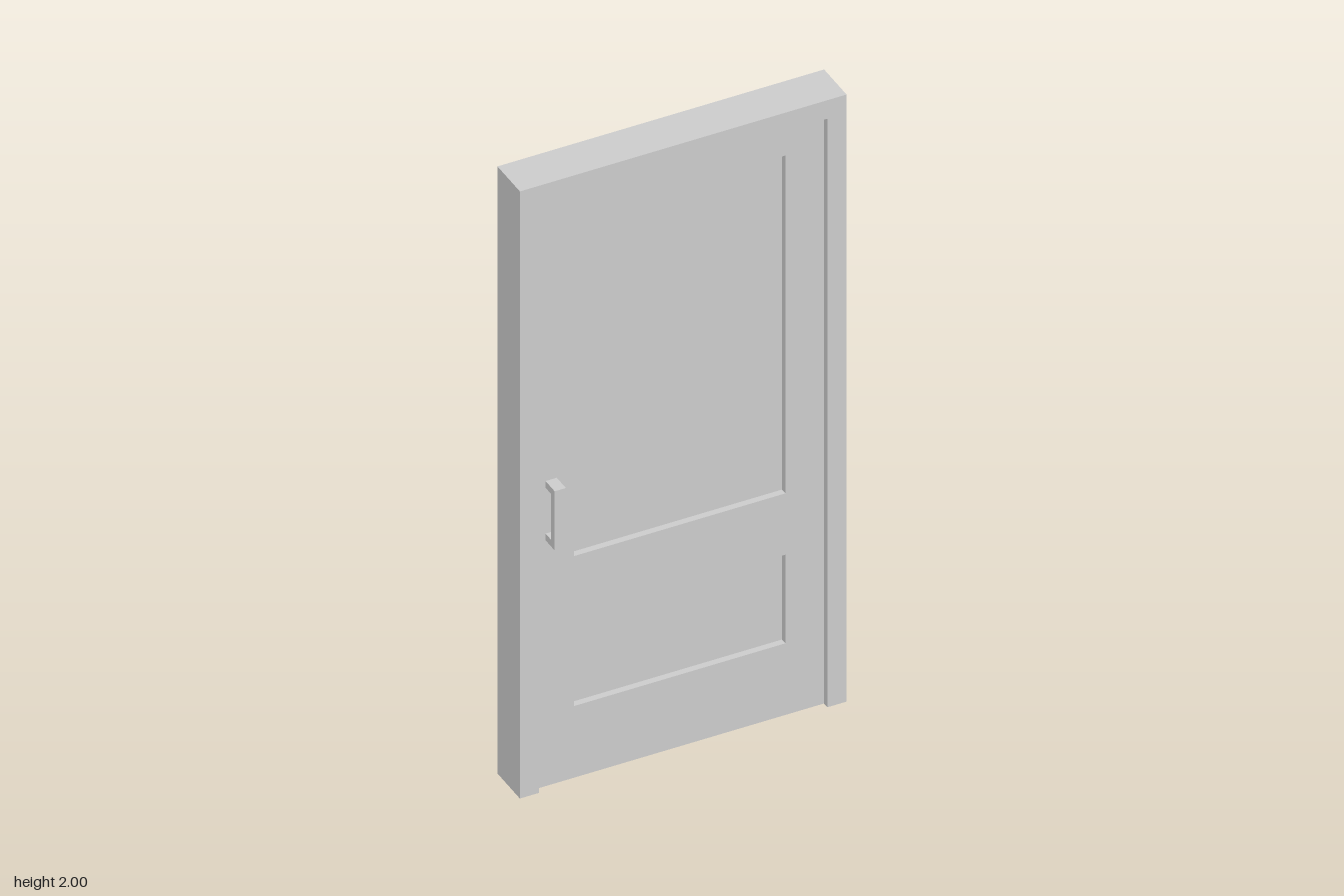
import * as THREE from 'three';

const W = 0.495, H = 2, FRAME_Z = 0.066;      // outer frame half width, height, half depth
const LEAF_W = 0.437, LEAF_H = 1.939, LEAF_Z = 0.046;
const PANEL_W = 0.32, PANEL_Z = 0.026;
const PANELS = [['upperPanel', 0.73, 1.843], ['lowerPanel', 0.236, 0.528]];

const material = new THREE.MeshStandardMaterial({ color: 0xcccccc });

function rectPoints(halfW, y0, y1) {
  return [[-halfW, y0], [halfW, y0], [halfW, y1], [-halfW, y1]].map(([x, y]) => new THREE.Vector2(x, y));
}

// Extrude a flat outline symmetrically about z = 0
function slab(name, shape, halfDepth) {
  const geometry = new THREE.ExtrudeGeometry(shape, { depth: halfDepth * 2, bevelEnabled: false });
  geometry.translate(0, 0, -halfDepth);
  const mesh = new THREE.Mesh(geometry, material);
  mesh.name = name;
  return mesh;
}

function box(name, w, h, d, x, y, z) {
  const mesh = new THREE.Mesh(new THREE.BoxGeometry(w, h, d), material);
  mesh.name = name;
  mesh.position.set(x, y, z);
  return mesh;
}

// Pull handle: a flat grip on two short stems; side is +1 (front) or -1 (back)
function handle(name, side) {
  const group = new THREE.Group();
  group.name = name;
  const x = -0.39, w = 0.034, t = 0.022, y0 = 0.81, y1 = 1.005, out = 0.1;
  group.add(box('grip', w, y1 - y0, t, x, (y0 + y1) / 2, side * (out - t / 2)));
  const stemDepth = out - t - LEAF_Z;
  for (const [stem, y] of [['upperStem', y1 - t / 2], ['lowerStem', y0 + t / 2]]) {
    group.add(box(stem, w, t, stemDepth, x, y, side * (LEAF_Z + stemDepth / 2)));
  }
  return group;
}

export function createModel() {
  const model = new THREE.Group();
  model.name = 'door';

  // Frame: two jambs and a head, open at the floor
  const frame = new THREE.Shape([
    [-W, 0], [-LEAF_W, 0], [-LEAF_W, LEAF_H], [LEAF_W, LEAF_H],
    [LEAF_W, 0], [W, 0], [W, H], [-W, H],
  ].map(([x, y]) => new THREE.Vector2(x, y)));
  model.add(slab('frame', frame, FRAME_Z));

  // Leaf with an opening for each recessed panel
  const leaf = new THREE.Shape(rectPoints(LEAF_W, 0, LEAF_H));
  for (const [name, y0, y1] of PANELS) {
    leaf.holes.push(new THREE.Path(rectPoints(PANEL_W, y0, y1).reverse()));
    model.add(box(name, PANEL_W * 2, y1 - y0, PANEL_Z * 2, 0, (y0 + y1) / 2, 0));
  }
  model.add(slab('leaf', leaf, LEAF_Z));

  // A handle on each face
  model.add(handle('frontHandle', 1), handle('backHandle', -1));
  return model;
}
